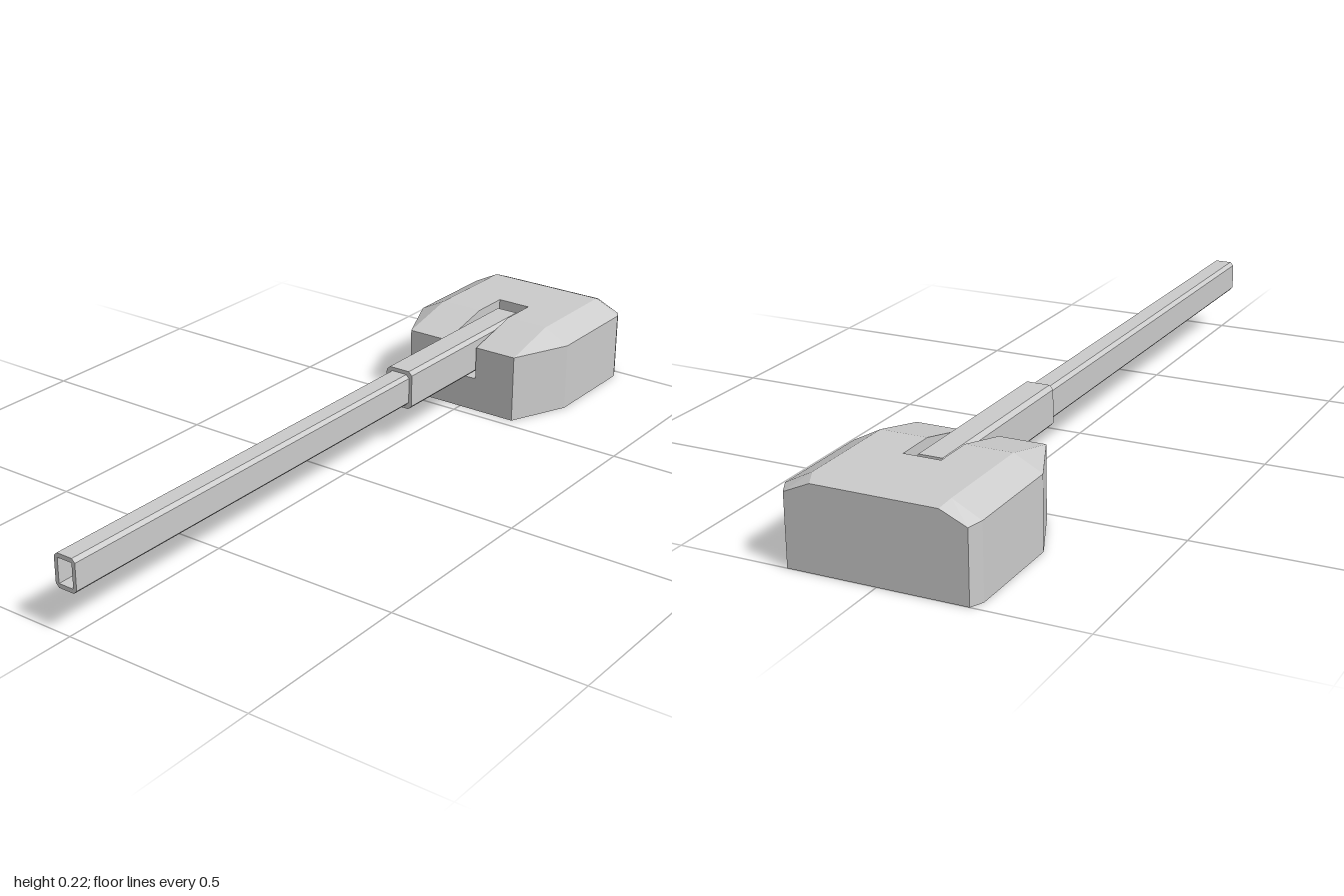
import * as THREE from 'three';

const material = new THREE.MeshStandardMaterial({ color: 0xcccccc, flatShading: true });

function addMesh(parent, name, geometry) {
  const mesh = new THREE.Mesh(geometry, material);
  mesh.name = name;
  parent.add(mesh);
}

// Rectangle with chamfered corners, centred on the barrel axis
function chamferedRect(w, h, c) {
  return [[w, c - h], [w, h - c], [w - c, h], [c - w, h], [-w, h - c], [-w, c - h], [c - w, -h], [w - c, -h]]
    .map(([x, y]) => new THREE.Vector2(x, y));
}

function beam(outline, hole, z0, z1) {
  const shape = new THREE.Shape(outline);
  if (hole) shape.holes.push(new THREE.Path(hole));
  return new THREE.ExtrudeGeometry(shape, { depth: z1 - z0, bevelEnabled: false }).translate(0, 0.157, z0);
}

// Fan-triangulates polygons of the +x half and mirrors them to the -x half
function mirroredHull(polygons) {
  const out = [];
  for (const p of polygons) {
    for (let i = 1; i < p.length - 1; i++) {
      const tri = [p[0], p[i], p[i + 1]];
      tri.forEach((v) => out.push(...v));
      tri.reverse().forEach(([x, y, z]) => out.push(-x, y, z));
    }
  }
  const g = new THREE.BufferGeometry();
  g.setAttribute('position', new THREE.Float32BufferAttribute(out, 3));
  g.computeVertexNormals();
  return g;
}

function headGeometry() {
  // z stations: front, shoulder, slot end, rear bevel, back
  const f = -0.53, m = -0.69, s = -0.795, r = -0.967, b = -1;
  // x stations: slot, plateau, rear corner, side
  const xs = 0.047, xp = 0.167, xr = 0.222, xw = 0.238;
  // y stations: slot floor, eave, roof
  const yf = 0.093, ye = 0.184, yt = 0.221;
  const eaveFront = [xp, ye, f], eaveMid = [xw, ye, m], eaveRear = [xw, ye, r];
  const roofMid = [xp, yt, m], roofRear = [xp, yt, r];
  const backTop = [0.155, 0.208, b], backCorner = [xr, 0.178, b];
  return mirroredHull([
    // walls
    [[xs, yf, f], [0, yf, f], [0, 0, f], [xp, 0, f], eaveFront, [xs, ye, f]],
    [[xp, 0, f], [xw, 0, m], eaveMid, eaveFront],
    [[xw, 0, m], [xw, 0, r], eaveRear, eaveMid],
    [[xw, 0, r], [xr, 0, b], backCorner, eaveRear],
    [[xr, 0, b], [0, 0, b], [0, 0.208, b], backTop, backCorner],
    // underside
    [[0, 0, f], [0, 0, b], [xr, 0, b], [xw, 0, r], [xw, 0, m], [xp, 0, f]],
    // sloped roof faces and flat top
    [[xs, ye, f], eaveFront, roofMid, [xs, yt, m]],
    [eaveFront, eaveMid, roofMid],
    [roofMid, eaveMid, eaveRear, roofRear],
    [roofRear, eaveRear, backCorner, backTop],
    [[0, yt, r], roofRear, backTop, [0, 0.208, b]],
    [[xs, yt, s], [xs, yt, m], roofMid, roofRear, [0, yt, r], [0, yt, s]],
    // slot for the barrel
    [[xs, yf, f], [xs, ye, f], [xs, yt, m], [xs, yt, s], [xs, yf, s]],
    [[0, yf, f], [xs, yf, f], [xs, yf, s], [0, yf, s]],
    [[0, yf, s], [xs, yf, s], [xs, yt, s], [0, yt, s]],
  ]);
}

export function createModel() {
  const model = new THREE.Group();
  model.name = 'turretWithBarrel';
  addMesh(model, 'turretHead', headGeometry());
  // Solid thick sleeve with a slightly stepped rear end
  addMesh(model, 'barrelSleeve', beam(chamferedRect(0.04, 0.053, 0.01), null, -0.76, -0.235));
  addMesh(model, 'sleeveEnd', beam(chamferedRect(0.031, 0.043, 0.009), null, -0.772, -0.76));
  // Hollow barrel
  const bore = [[-0.021, -0.032], [-0.021, 0.032], [0.021, 0.032], [0.021, -0.032]]
    .map(([x, y]) => new THREE.Vector2(x, y));
  addMesh(model, 'barrel', beam(chamferedRect(0.031, 0.043, 0.009), bore, -0.235, 1));
  return model;
}
